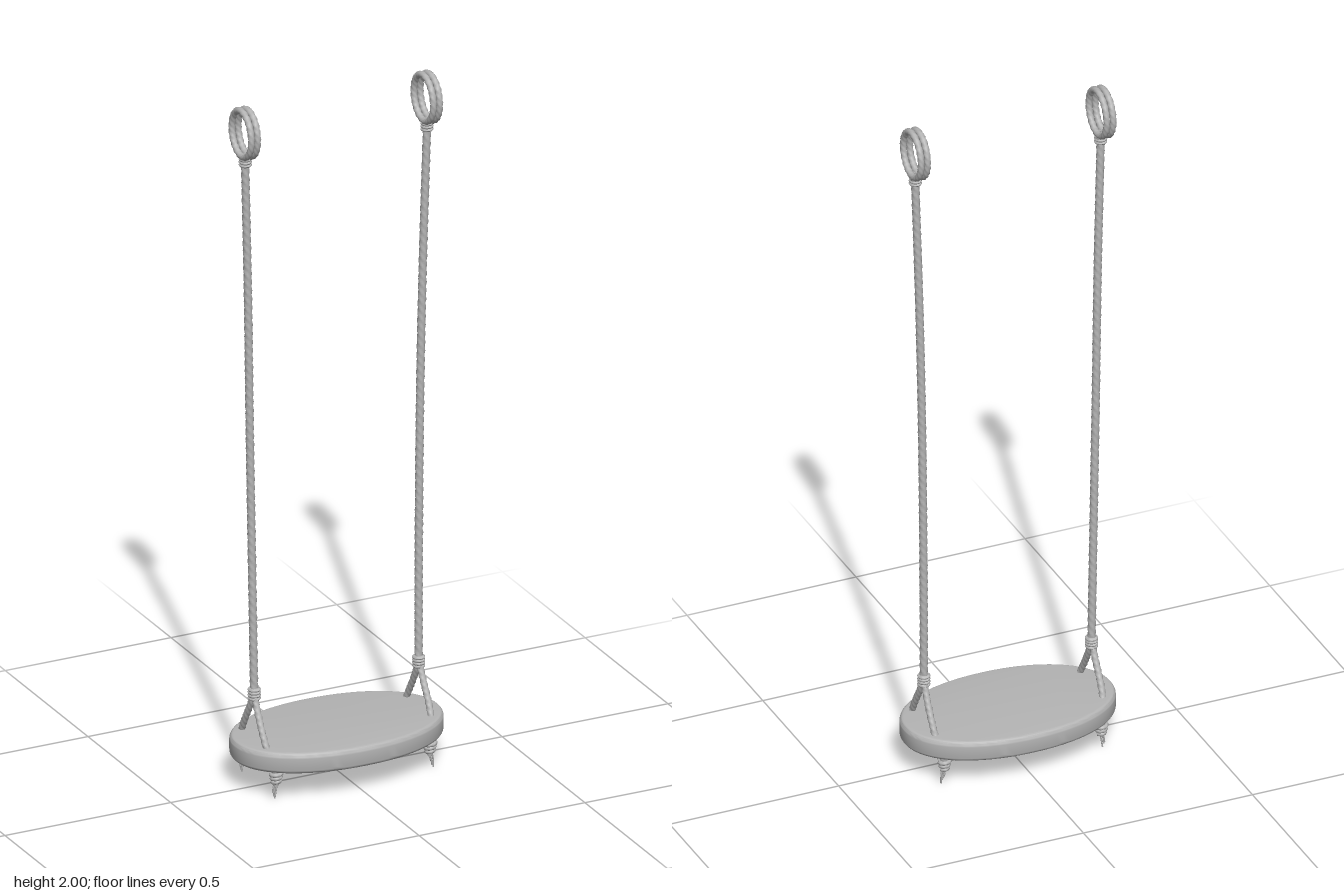
import * as THREE from 'three';
import { mergeVertices, toCreasedNormals } from 'three/addons/utils/BufferGeometryUtils.js';

const V = (x, y, z) => new THREE.Vector3(x, y, z);
const material = new THREE.MeshStandardMaterial({ color: 0xb4b4b4 });
material.name = 'pale grey';

function add(parent, name, geometry) {
  const mesh = new THREE.Mesh(geometry, material);
  mesh.name = name;
  parent.add(mesh);
  return mesh;
}

// Three-strand twisted rope: a tube whose round section is pushed into a turning trefoil
function ropeGeometry(curve, radius, pitch = 0.075, closed = false) {
  const turns = Math.max(1, Math.round(curve.getLength() / pitch));
  const n = turns * 14, m = 15;
  const geo = new THREE.TubeGeometry(curve, n, radius, m, closed);
  const pos = geo.attributes.position;
  const p = V(0, 0, 0);
  for (let i = 0; i <= n; i++) {
    const centre = curve.getPointAt(closed ? (i % n) / n : i / n);
    for (let j = 0; j <= m; j++) {
      const k = i * (m + 1) + j;
      const angle = ((j % m) / m - (i / n) * turns) * Math.PI * 2;
      const lobe = 0.72 + 0.28 * Math.abs(Math.cos(angle * 1.5));
      p.fromBufferAttribute(pos, k).sub(centre).multiplyScalar(lobe).add(centre);
      pos.setXYZ(k, p.x, p.y, p.z);
    }
  }
  geo.deleteAttribute('normal');
  geo.deleteAttribute('uv');
  const merged = mergeVertices(geo, 1e-5);
  merged.computeVertexNormals();
  return merged;
}

// Oval seat board with a rounded rim
function seatGeometry() {
  const points = [];
  for (let i = 0; i < 96; i++) {
    const a = (i / 96) * Math.PI * 2, c = Math.cos(a), s = Math.sin(a), e = 2 / 2.12;
    points.push(new THREE.Vector2(
      0.307 * Math.sign(c) * Math.abs(c) ** e,
      0.186 * Math.sign(s) * Math.abs(s) ** e));
  }
  const geo = new THREE.ExtrudeGeometry(new THREE.Shape(points), {
    depth: 0.03, bevelEnabled: true, bevelThickness: 0.015,
    bevelSize: 0.011, bevelOffset: -0.011, bevelSegments: 5,
  });
  geo.rotateX(-Math.PI / 2).translate(0, 0.096, 0);
  return toCreasedNormals(geo, 0.6);
}

// Cord whipping: a short sleeve of stacked round wraps
function whippingGeometry(height, radius) {
  const wraps = 4, profile = [new THREE.Vector2(0.004, 0)];
  for (let i = 0; i <= wraps * 6; i++) {
    const t = i / (wraps * 6);
    profile.push(new THREE.Vector2(radius - 0.003 + 0.003 * Math.abs(Math.sin(t * wraps * Math.PI)), t * height));
  }
  profile.push(new THREE.Vector2(0.004, height));
  return toCreasedNormals(new THREE.LatheGeometry(profile, 20), 0.9);
}

// Tapering coil of rope under the seat, with frayed ends reaching the lowest point
function buildKnot(side, end) {
  const knot = new THREE.Group();
  knot.name = 'knot';
  const coil = [];
  for (let i = 0; i <= 36; i++) {
    const t = i / 36, a = t * Math.PI * 6, r = 0.0145 - 0.006 * t;
    coil.push(V(Math.cos(a) * r, 0.076 - 0.032 * t, Math.sin(a) * r));
  }
  add(knot, 'coil', ropeGeometry(new THREE.CatmullRomCurve3(coil), 0.0065, 0.03));
  add(knot, 'knotCore', new THREE.CylinderGeometry(0.012, 0.007, 0.045, 12).translate(0, 0.06, 0));
  for (let i = 0; i < 3; i++) {
    const a = i * 2.1;
    const strand = new THREE.CatmullRomCurve3([
      V(Math.cos(a) * 0.004, 0.046, Math.sin(a) * 0.004),
      V(side * 0.004 + Math.cos(a) * 0.005, 0.03, Math.sin(a) * 0.005),
      V(side * 0.007 + Math.cos(a) * 0.003, i * 0.008 + 0.001, Math.sin(a) * 0.003),
    ]);
    add(knot, 'frayedEnd', new THREE.TubeGeometry(strand, 8, 0.0022, 6));
  }
  knot.position.set(side * 0.232, 0, end * 0.1);
  return knot;
}

// One complete hanging rope; side is +1 or -1
function buildRope(side, name) {
  const rope = new THREE.Group();
  rope.name = name;

  // Long, slightly slack rope
  const line = new THREE.CatmullRomCurve3([
    V(side * 0.248, 0.262, 0), V(side * 0.25, 0.5, -0.004), V(side * 0.257, 1.05, -0.009),
    V(side * 0.264, 1.45, -0.006), V(side * 0.275, 1.86, -0.002),
  ]);
  add(rope, 'mainRope', ropeGeometry(line, 0.012));

  // Double hanging loop
  for (const x of [0.265, 0.284]) {
    const points = [];
    for (let i = 0; i < 24; i++) {
      const a = (i / 24) * Math.PI * 2;
      points.push(V(side * x, 1.9245 + 0.066 * Math.sin(a), -0.004 + 0.059 * Math.cos(a)));
    }
    add(rope, 'hangingLoop', ropeGeometry(new THREE.CatmullRomCurve3(points, true), 0.0098, 0.06, true));
  }

  // Whippings below the loop and above the fork
  add(rope, 'upperWhipping', whippingGeometry(0.034, 0.018)).position.set(side * 0.274, 1.829, -0.002);
  add(rope, 'lowerWhipping', whippingGeometry(0.034, 0.018)).position.set(side * 0.248, 0.256, 0);

  // Forked legs passing through the seat to their knots
  for (const end of [1, -1]) {
    const leg = new THREE.CatmullRomCurve3([
      V(side * 0.248, 0.28, end * 0.004), V(side * 0.249, 0.25, end * 0.012),
      V(side * 0.248, 0.14, end * 0.074), V(side * 0.234, 0.075, end * 0.1),
    ]);
    add(rope, 'forkLeg', ropeGeometry(leg, 0.01, 0.06));
    rope.add(buildKnot(side, end));
  }
  return rope;
}

export function createModel() {
  const swing = new THREE.Group();
  swing.name = 'swing';
  add(swing, 'seat', seatGeometry());
  swing.add(buildRope(1, 'leftRope'), buildRope(-1, 'rightRope'));
  return swing;
}
